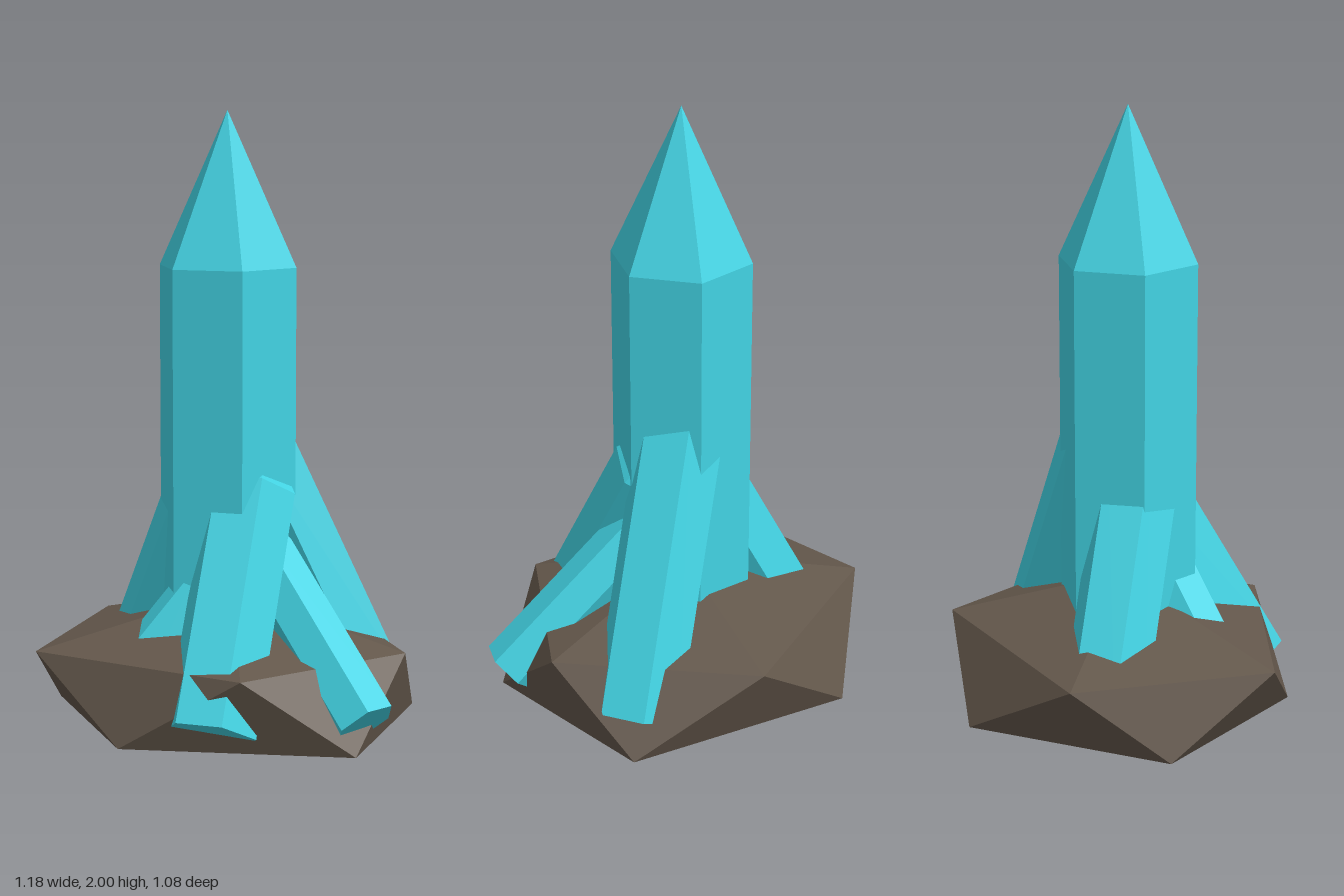
import * as THREE from 'three';
import { ConvexGeometry } from 'three/addons/geometries/ConvexGeometry.js';

const crystalMat = new THREE.MeshStandardMaterial({ color: 0x42d3e3 });
crystalMat.name = 'turquoise crystal';
const rockMat = new THREE.MeshStandardMaterial({ color: 0x63574b });
rockMat.name = 'brown rock';

// Six-sided shaft with a pointed tip; one flat side faces local +x
function crystalGeometry(radius, length, tip) {
  const profile = [[0, 0], [radius, 0], [radius, length], [0, length + tip]];
  const geo = new THREE.LatheGeometry(profile.map(([x, y]) => new THREE.Vector2(x, y)), 6).toNonIndexed();
  geo.computeVertexNormals(); // faceted normals
  return geo;
}

// azimuth: heading of the foot, from +x towards +z; tilt: lean of the tip back to the centre
function addCrystal(group, name, { foot, azimuth, tilt, radius, length, tip }) {
  const mesh = new THREE.Mesh(crystalGeometry(radius, length, tip), crystalMat);
  mesh.name = name;
  mesh.position.set(...foot);
  mesh.rotation.set(0, -THREE.MathUtils.degToRad(azimuth), THREE.MathUtils.degToRad(tilt), 'YXZ');
  group.add(mesh);
}

export function createModel() {
  const model = new THREE.Group();
  model.name = 'crystalCluster';

  // Squashed twenty-sided boulder: top point, upper ring, lower ring, bottom point
  const rockPoints = [
    [0, 0.49, 0],
    [0.57, 0.33, 0.01], [0.19, 0.33, 0.5], [-0.53, 0.33, 0.35], [-0.54, 0.33, -0.29], [0.18, 0.34, -0.53],
    [0.5, 0.08, 0.33], [-0.2, 0.09, 0.5], [-0.59, 0.09, 0.01], [-0.19, 0.09, -0.54], [0.52, 0.08, -0.3],
    [-0.01, 0, 0.01],
  ].map((p) => new THREE.Vector3(...p));
  const rock = new THREE.Mesh(new ConvexGeometry(rockPoints), rockMat);
  rock.name = 'rockBase';
  model.add(rock);

  // Tall upright crystal, corners pointing left and right
  addCrystal(model, 'mainCrystal',
    { foot: [-0.012, 0.3, 0.012], azimuth: 90, tilt: 0, radius: 0.224, length: 1.22, tip: 0.48 });

  // Smaller crystals leaning against it
  addCrystal(model, 'frontCrystal',
    { foot: [0.0725, 0.138, 0.43], azimuth: 90, tilt: 30, radius: 0.145, length: 0.786, tip: 0.25 });
  addCrystal(model, 'backLeftCrystal',
    { foot: [0.4, 0.147, -0.19], azimuth: -23, tilt: 25, radius: 0.143, length: 0.95, tip: 0.25 });
  addCrystal(model, 'frontLeftCrystal',
    { foot: [0.512, 0.169, 0.272], azimuth: 30, tilt: 45, radius: 0.1, length: 0.65, tip: 0.15 });
  addCrystal(model, 'backRightCrystal',
    { foot: [-0.357, 0.195, -0.145], azimuth: -149, tilt: 28, radius: 0.135, length: 0.75, tip: 0.2 });
  addCrystal(model, 'frontRightCrystal',
    { foot: [-0.217, 0.27, 0.218], azimuth: 150, tilt: 40, radius: 0.105, length: 0.35, tip: 0.15 });

  return model;
}
